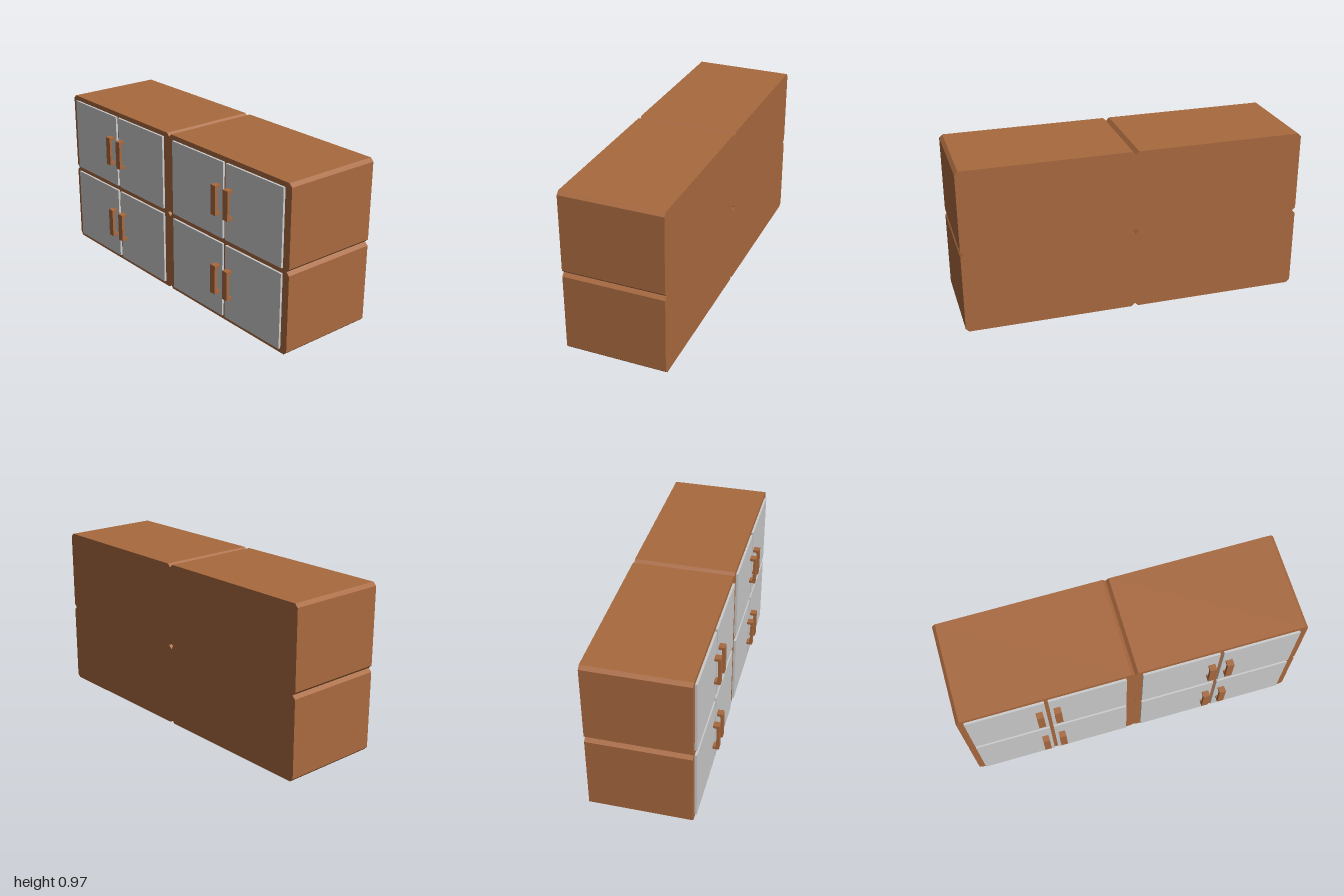
import * as THREE from 'three';

const wood = new THREE.MeshStandardMaterial({ color: 0xa8693e, flatShading: true });
const grey = new THREE.MeshStandardMaterial({ color: 0xcccccc, flatShading: true });

// Extrude a (z, y) outline along x, from x0 to x1
function extrudeAlongX(points, x0, x1) {
  const shape = new THREE.Shape(points.map(([z, y]) => new THREE.Vector2(-z, y)));
  const geo = new THREE.ExtrudeGeometry(shape, { depth: x1 - x0, bevelEnabled: false });
  return geo.rotateY(Math.PI / 2).translate(x0, 0, 0);
}

// Cabinet body: a block whose four long edges are chamfered
function makeBody(height, c = 0.019) {
  const z = 0.5, h = height;
  const outline = [
    [-z, c], [-z + c, 0], [z - c, 0], [z, c],
    [z, h - c], [z - c, h], [-z + c, h], [-z, h - c],
  ];
  const body = new THREE.Mesh(extrudeAlongX(outline, -0.27, 0.319), wood);
  body.name = 'cabinetBody';
  return body;
}

// Handle: a square C-shaped grip with small chamfers in its inner corners
function makeHandle() {
  const h = 0.087, t = 0.016, d = 0.037, c = 0.005;
  const shape = new THREE.Shape([
    [0, -h], [0, -h + t], [-d + t + c, -h + t], [-d + t, -h + t + c],
    [-d + t, h - t - c], [-d + t + c, h - t], [0, h - t], [0, h],
    [-d, h], [-d, -h],
  ].map(([x, y]) => new THREE.Vector2(x, y)));
  const geo = new THREE.ExtrudeGeometry(shape, { depth: 0.04, bevelEnabled: false });
  const handle = new THREE.Mesh(geo.translate(-0.283, 0, -0.02), wood);
  handle.name = 'handle';
  return handle;
}

export function createModel() {
  const model = new THREE.Group();
  model.name = 'sideboard';
  const height = 0.487;

  for (const [row, doorY] of [[0, 0.247], [1, 0.7235]]) {
    for (const [side, doorZ] of [[-0.5, -0.505], [0.5, 0.499]]) {
      const cabinet = new THREE.Group();
      cabinet.name = 'cabinet';
      const body = makeBody(height);
      body.position.set(0, row * height, side);
      cabinet.add(body);

      // Pair of doors with their handles beside the middle gap
      for (const s of [-1, 1]) {
        const door = new THREE.Mesh(new THREE.BoxGeometry(0.014, 0.444, 0.444), grey);
        door.name = 'door';
        door.position.set(-0.276, doorY, doorZ + s * 0.233);
        const handle = makeHandle();
        handle.position.set(0, doorY + 0.002, doorZ + s * 0.051);
        cabinet.add(door, handle);
      }
      model.add(cabinet);
    }
  }
  return model;
}
